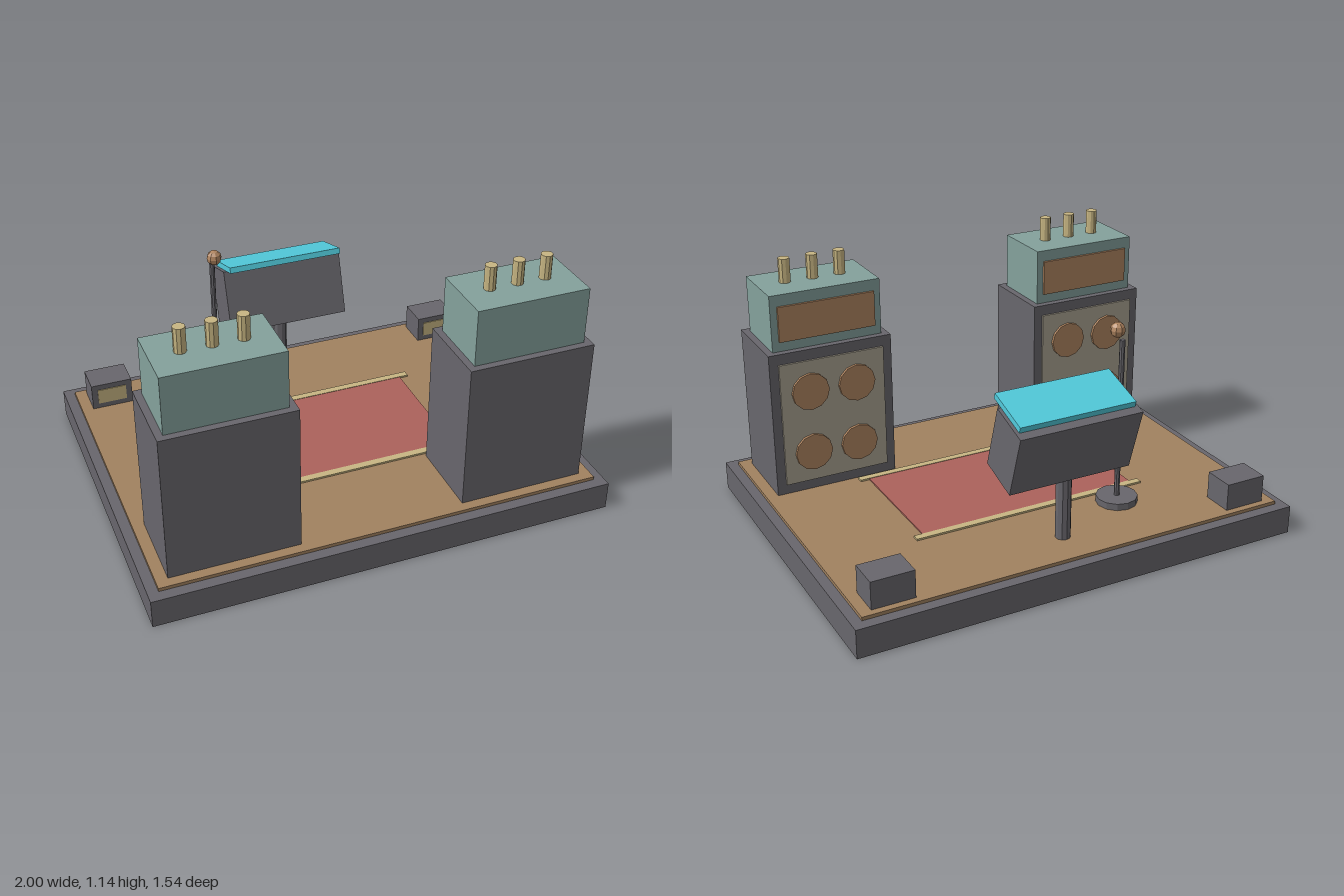
import * as THREE from 'three';

const mat = (name, color) => new THREE.MeshStandardMaterial({ name, color, flatShading: true });

export function createModel() {
  const grey = mat('charcoal grey', 0x68666c);
  const wood = mat('stage wood', 0xa18260);
  const red = mat('rug red', 0xac625b);
  const sand = mat('pale brass', 0xc8b683);
  const teal = mat('muted teal', 0x84a19c);
  const copper = mat('copper', 0xb08560);
  const cloth = mat('grille cloth', 0xaaa392);
  const cyan = mat('screen cyan', 0x52cbdc);

  const model = new THREE.Group();
  model.name = 'stage';

  function add(parent, name, geometry, material, x, y, z) {
    const mesh = new THREE.Mesh(geometry, material);
    mesh.name = name;
    mesh.position.set(x, y, z);
    parent.add(mesh);
    return mesh;
  }
  // Box centred on x and z, standing on y
  const box = (parent, name, material, w, h, d, x, y, z) =>
    add(parent, name, new THREE.BoxGeometry(w, h, d), material, x, y + h / 2, z);
  // Upright cylinder standing on y
  const post = (parent, name, material, r, h, sides, x, y, z) =>
    add(parent, name, new THREE.CylinderGeometry(r, r, h, sides), material, x, y + h / 2, z);

  const floorY = 0.14;

  // Platform, floor boards and rug
  box(model, 'platform', grey, 2, 0.125, 1.536, 0, 0, 0);
  box(model, 'floor', wood, 1.91, 0.015, 1.44, 0, 0.125, 0);
  box(model, 'rug', red, 1, 0.006, 0.556, 0, floorY, 0);
  for (const s of [-1, 1]) {
    box(model, 'rugTrim', sand, 1.08, 0.008, 0.032, 0, floorY, s * 0.293);
  }

  for (const s of [-1, 1]) {
    // Amplifier stack, its speakers facing the rug
    const stack = new THREE.Group();
    stack.name = s > 0 ? 'leftStack' : 'rightStack';
    stack.position.set(s * 0.63, 0, 0.5);
    model.add(stack);
    box(stack, 'cabinet', grey, 0.55, 0.647, 0.352, 0, floorY, 0);
    box(stack, 'grille', cloth, 0.47, 0.555, 0.01, 0, 0.185, -0.18);
    for (const x of [-0.105, 0.105]) {
      for (const y of [0.32, 0.602]) {
        const cone = add(stack, 'speakerCone', new THREE.CylinderGeometry(0.083, 0.083, 0.014, 12),
          copper, x, y, -0.19);
        cone.rotation.x = Math.PI / 2;
      }
    }
    box(stack, 'ampHead', teal, 0.49, 0.248, 0.29, 0, 0.787, 0);
    box(stack, 'ampPanel', copper, 0.43, 0.155, 0.012, 0, 0.83, -0.15);
    for (const x of [-0.123, 0, 0.123]) {
      post(stack, 'valve', sand, 0.025, 0.107, 10, x, 1.034, 0);
    }

    // Floor monitor in the back corner
    const monitor = new THREE.Group();
    monitor.name = 'floorMonitor';
    monitor.position.set(s * 0.813, floorY, -0.622);
    model.add(monitor);
    box(monitor, 'monitorBox', grey, 0.184, 0.12, 0.138, 0, 0, 0);
    box(monitor, 'monitorGrille', sand, 0.13, 0.07, 0.006, 0, 0.025, 0.07);
  }

  // Tilted console on a post
  post(model, 'consolePost', grey, 0.033, 0.36, 10, 0, floorY, -0.552);
  const consoleGroup = new THREE.Group();
  consoleGroup.name = 'console';
  consoleGroup.position.set(0, 0.585, -0.552);
  consoleGroup.rotation.x = -0.305;
  model.add(consoleGroup);
  add(consoleGroup, 'consoleBody', new THREE.BoxGeometry(0.55, 0.286, 0.195), grey, 0, 0, 0);
  add(consoleGroup, 'consoleScreen', new THREE.BoxGeometry(0.52, 0.026, 0.215), cyan, 0, 0.156, 0.049);

  // Microphone stand
  post(model, 'micBase', grey, 0.09, 0.03, 12, -0.357, floorY, -0.398);
  post(model, 'micPole', grey, 0.012, 0.72, 8, -0.357, 0.16, -0.398);
  add(model, 'microphone', new THREE.SphereGeometry(0.033, 8, 6), copper, -0.357, 0.911, -0.36);

  return model;
}
